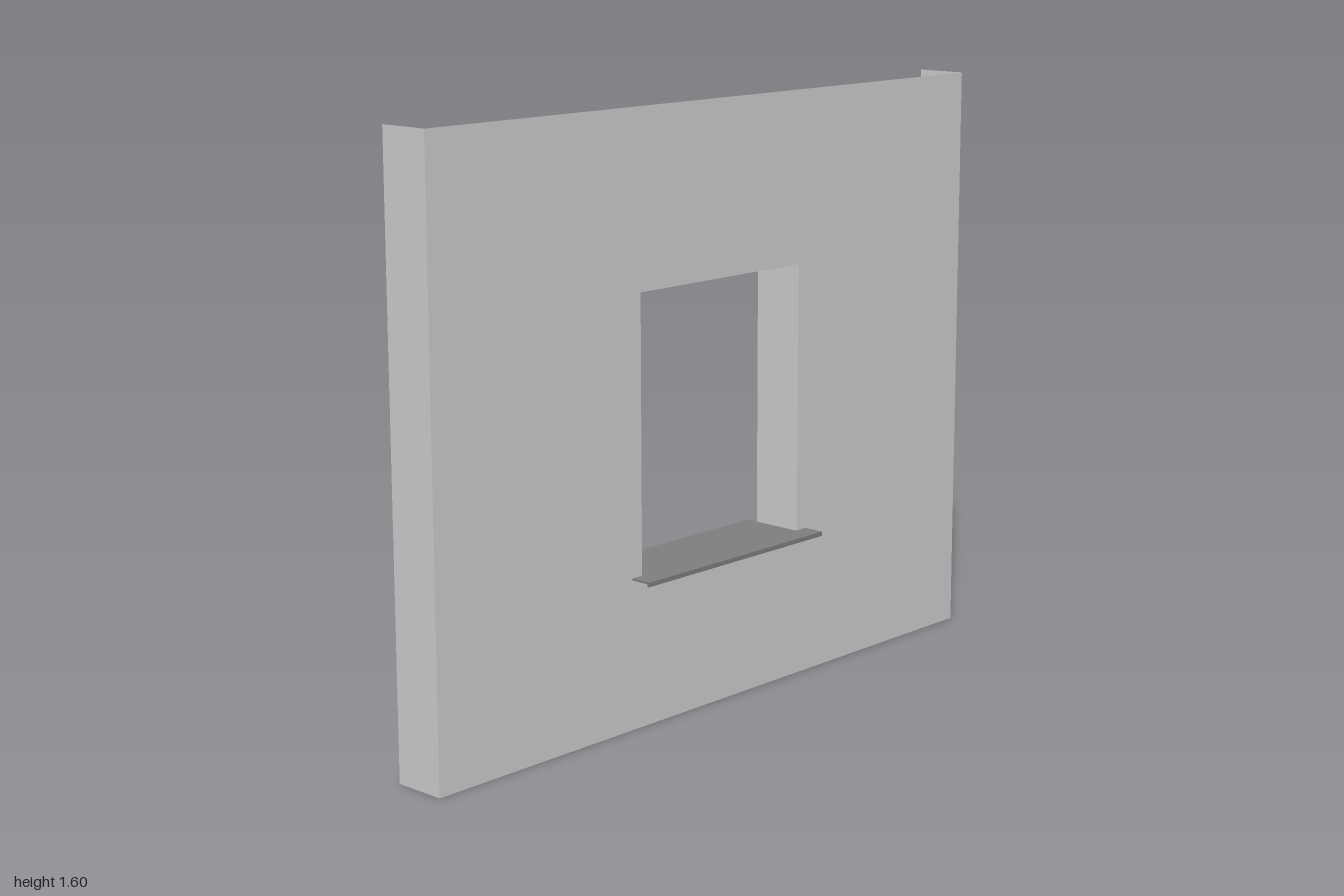
import * as THREE from 'three';

const FRONT = 0.057, BACK = -0.088, DEPTH = FRONT - BACK;
const HEIGHT = 1.6, HALF = 1;
const WIN = { half: 0.302, bottom: 0.398, top: 1.137 };

export function createModel() {
  const model = new THREE.Group();
  const grey = new THREE.MeshStandardMaterial({ color: 0xcccccc, side: THREE.DoubleSide });
  const dark = new THREE.MeshStandardMaterial({ color: 0x7d7d7d });
  const midZ = (FRONT + BACK) / 2;

  const add = (name, geometry, material, x, y, z) => {
    const mesh = new THREE.Mesh(geometry, material);
    mesh.name = name;
    mesh.position.set(x, y, z);
    model.add(mesh);
    return mesh;
  };
  // thin sheets running from the wall face to the back
  const upright = (name, x, bottom, top, sign) => {
    add(name, new THREE.PlaneGeometry(DEPTH, top - bottom), grey, x, (bottom + top) / 2, midZ)
      .rotation.y = sign * Math.PI / 2;
  };
  const level = (name, y, sign) => {
    add(name, new THREE.PlaneGeometry(WIN.half * 2, DEPTH), grey, 0, y, midZ)
      .rotation.x = -sign * Math.PI / 2;
  };

  // wall face with the window opening
  const face = new THREE.Shape([
    new THREE.Vector2(-HALF, 0), new THREE.Vector2(HALF, 0),
    new THREE.Vector2(HALF, HEIGHT), new THREE.Vector2(-HALF, HEIGHT),
  ]);
  face.holes.push(new THREE.Path([
    new THREE.Vector2(-WIN.half, WIN.bottom), new THREE.Vector2(-WIN.half, WIN.top),
    new THREE.Vector2(WIN.half, WIN.top), new THREE.Vector2(WIN.half, WIN.bottom),
  ]));
  add('wallFace', new THREE.ShapeGeometry(face), grey, 0, 0, FRONT);

  // wall ends and window reveal
  for (const [side, s] of [['left', 1], ['right', -1]]) {
    upright(side + 'WallEnd', s * HALF, 0, HEIGHT, s);
    upright(side + 'Reveal', s * WIN.half, WIN.bottom, WIN.top, -s);
  }
  level('topReveal', WIN.top, -1);
  level('bottomReveal', WIN.bottom, 1);

  // metal sill: narrow inside the opening, wider in front, with a drip lip
  const sillPart = (name, half, y0, y1, z0, z1) =>
    add(name, new THREE.BoxGeometry(half * 2, y1 - y0, z1 - z0), dark, 0, (y0 + y1) / 2, (z0 + z1) / 2);
  sillPart('innerSill', 0.298, 0.4, 0.405, -0.116, FRONT);
  sillPart('outerSill', 0.338, 0.4, 0.405, FRONT, 0.116);
  sillPart('sillLip', 0.338, 0.393, 0.4, 0.111, 0.116);

  return model;
}
